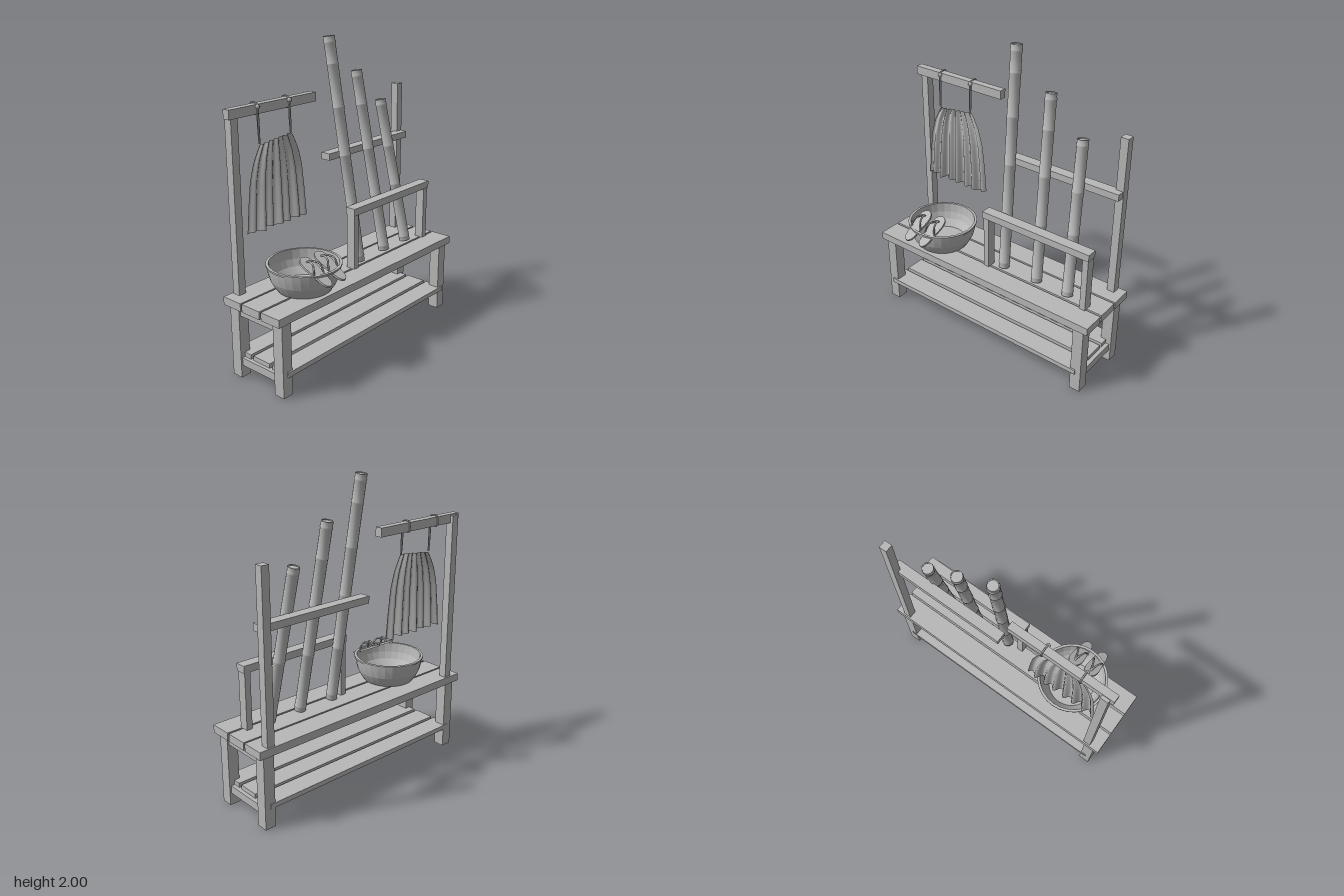
import * as THREE from 'three';
import { toCreasedNormals } from 'three/addons/utils/BufferGeometryUtils.js';

export function createModel() {
  const root = new THREE.Group();
  const grey = new THREE.MeshStandardMaterial({ color: 0xb8b8b8 });
  grey.name = 'plainGrey';
  const greySheet = grey.clone();
  greySheet.side = THREE.DoubleSide;
  greySheet.name = 'plainGreySheet';

  const add = (name, geo, parent = root, mat = grey) => {
    const m = new THREE.Mesh(geo, mat);
    m.name = name;
    parent.add(m);
    return m;
  };
  const v = (x, y, z) => new THREE.Vector3(x, y, z);
  // box given by its limits on each axis
  const beam = (name, x0, x1, y0, y1, z0, z1) => {
    const m = add(name, new THREE.BoxGeometry(x1 - x0, y1 - y0, z1 - z0));
    m.position.set((x0 + x1) / 2, (y0 + y1) / 2, (z0 + z1) / 2);
  };
  const tube = (name, pts, r, parent = root) =>
    add(name, new THREE.TubeGeometry(new THREE.CatmullRomCurve3(pts), 16, r, 6), parent);

  // Bench: seat planks and lower shelf slats
  [[-0.28, -0.132], [-0.12, 0.028], [0.042, 0.19]].forEach(([a, b]) =>
    beam('seatPlank', -0.855, 0.85, 0.48, 0.532, a, b));
  [[-0.27, -0.137], [-0.115, 0.025], [0.05, 0.185]].forEach(([a, b]) =>
    beam('shelfSlat', -0.785, 0.78, 0.13, 0.162, a, b));

  // Legs and cross rails at both ends
  for (const x of [-0.782, 0.78]) {
    beam('frontLeg', x - 0.037, x + 0.037, 0, 0.48, 0.1, 0.175);
    beam('backLeg', x - 0.037, x + 0.037, 0, 0.48, -0.265, -0.19);
    beam('upperCrossRail', x - 0.025, x + 0.025, 0.415, 0.478, -0.19, 0.1);
    beam('lowerCrossRail', x - 0.025, x + 0.025, 0.08, 0.132, -0.19, 0.1);
  }

  // Back posts and rails
  beam('rightPost', -0.785, -0.733, 0.53, 1.655, -0.27, -0.217);
  beam('leftPost', 0.738, 0.79, 0.53, 1.6, -0.27, -0.217);
  beam('hangingBar', -0.81, -0.108, 1.608, 1.665, -0.25, -0.202);
  beam('backRail', -0.025, 0.785, 1.215, 1.26, -0.24, -0.17);

  // Front rack
  beam('rackPost', -0.042, -0.002, 0.53, 0.9, -0.01, 0.053);
  beam('rackPost', 0.705, 0.745, 0.53, 0.9, -0.01, 0.053);
  beam('rackRail', -0.048, 0.75, 0.898, 0.945, -0.012, 0.06);

  // Leaning bamboo poles with raised nodes
  const pole = (bottom, top, nodes) => {
    const len = top.distanceTo(bottom);
    const pts = [[0, 0], [0.036, 0]];
    for (const t of nodes) {
      const y = t * len;
      pts.push([0.036, y - 0.008], [0.0385, y - 0.002], [0.0385, y + 0.002], [0.036, y + 0.008]);
    }
    pts.push([0.036, len], [0.03, len], [0.03, len - 0.006], [0, len - 0.006]);
    const geo = new THREE.LatheGeometry(pts.map(p => new THREE.Vector2(...p)), 16);
    const m = add('bambooPole', toCreasedNormals(geo, 0.6));
    m.position.copy(bottom);
    m.quaternion.setFromUnitVectors(v(0, 1, 0), top.clone().sub(bottom).normalize());
  };
  pole(v(0.08, 0.54, -0.008), v(0.012, 1.995, -0.2), [0.025, 0.25, 0.49, 0.7, 0.885, 0.975]);
  pole(v(0.34, 0.54, -0.008), v(0.27, 1.755, -0.198), [0.025, 0.32, 0.58, 0.82, 0.97]);
  pole(v(0.577, 0.54, -0.008), v(0.51, 1.53, -0.19), [0.03, 0.41, 0.68, 0.965]);

  // Basin with a rolled rim
  const bowl = [[0, 0.534], [0.168, 0.534], [0.19, 0.565], [0.21, 0.605], [0.222, 0.65], [0.227, 0.688],
    [0.233, 0.69], [0.234, 0.702], [0.217, 0.703], [0.216, 0.69], [0.208, 0.64],
    [0.19, 0.595], [0.152, 0.55], [0, 0.55]].map(p => new THREE.Vector2(...p));
  const basin = add('basin', toCreasedNormals(new THREE.LatheGeometry(bowl, 28), 0.2));
  basin.position.set(-0.447, 0, -0.002);

  // Sandals propped on the basin rim, toes up
  const sole = new THREE.Shape();
  sole.moveTo(0, 0.13);
  sole.bezierCurveTo(0.035, 0.13, 0.052, 0.09, 0.047, 0.04);
  sole.bezierCurveTo(0.044, 0, 0.038, -0.03, 0.036, -0.075);
  sole.bezierCurveTo(0.032, -0.145, -0.032, -0.145, -0.036, -0.075);
  sole.bezierCurveTo(-0.038, -0.03, -0.044, 0, -0.047, 0.04);
  sole.bezierCurveTo(-0.052, 0.09, -0.035, 0.13, 0, 0.13);
  for (const x of [-0.52, -0.396]) {
    const sandal = new THREE.Group();
    sandal.name = 'sandal';
    add('sole', new THREE.ExtrudeGeometry(sole, { depth: 0.014, bevelEnabled: false, curveSegments: 8 }), sandal);
    for (const s of [-1, 1]) {
      tube('strap', [v(0, 0.088, 0.01), v(s * 0.006, 0.07, 0.035), v(s * 0.027, 0.02, 0.052),
        v(s * 0.042, -0.025, 0.008)], 0.006, sandal);
    }
    sandal.position.set(x, 0.699, 0.163);
    sandal.rotation.x = -Math.PI / 2 + 0.47;
    root.add(sandal);
  }

  // Pleated cloth: rows widen downwards and folds deepen
  const cloth = new THREE.PlaneGeometry(1, 1, 56, 16);
  const pos = cloth.attributes.position;
  const half = [[0, 0.13], [0.06, 0.15], [0.2, 0.188], [0.4, 0.218], [0.7, 0.237], [1, 0.25]];
  const widthAt = t => {
    const i = Math.max(1, half.findIndex(h => h[0] >= t - 1e-6));
    const [a, b] = [half[i - 1], half[i]];
    return a[1] + (b[1] - a[1]) * (t - a[0]) / (b[0] - a[0]);
  };
  for (let i = 0; i < pos.count; i++) {
    const u = pos.getX(i) * 2, t = 0.5 - pos.getY(i);
    const fold = Math.sin(u * 7 * Math.PI + 0.5) + 0.35 * Math.sin(u * 11 + 1);
    const topY = 1.443 + u * 0.014;
    const hem = 0.912 + 0.006 * Math.sin(u * 14);
    pos.setXYZ(i, -0.466 + u * widthAt(t) - 0.004 * t, topY + (hem - topY) * t,
      -0.19 + 0.005 * t + fold * (0.007 + 0.012 * t));
  }
  cloth.computeVertexNormals();
  add('hangingCloth', cloth, root, greySheet);

  // Cords looped over the bar and tied in front
  for (const [x, y] of [[-0.6, 1.435], [-0.345, 1.45]]) {
    for (const s of [-1, 1]) {
      tube('cord', [v(x + s * 0.003, y, -0.19), v(x + s * 0.006, 1.55, -0.194), v(x + s * 0.004, 1.65, -0.196)], 0.0035);
    }
    tube('cordLoop', [v(x, 1.645, -0.196), v(x, 1.67, -0.203), v(x, 1.67, -0.25), v(x, 1.61, -0.254),
      v(x, 1.604, -0.225), v(x, 1.61, -0.198)], 0.005);
    add('cordKnot', new THREE.SphereGeometry(0.014, 8, 6)).position.set(x, 1.653, -0.196);
  }
  return root;
}
